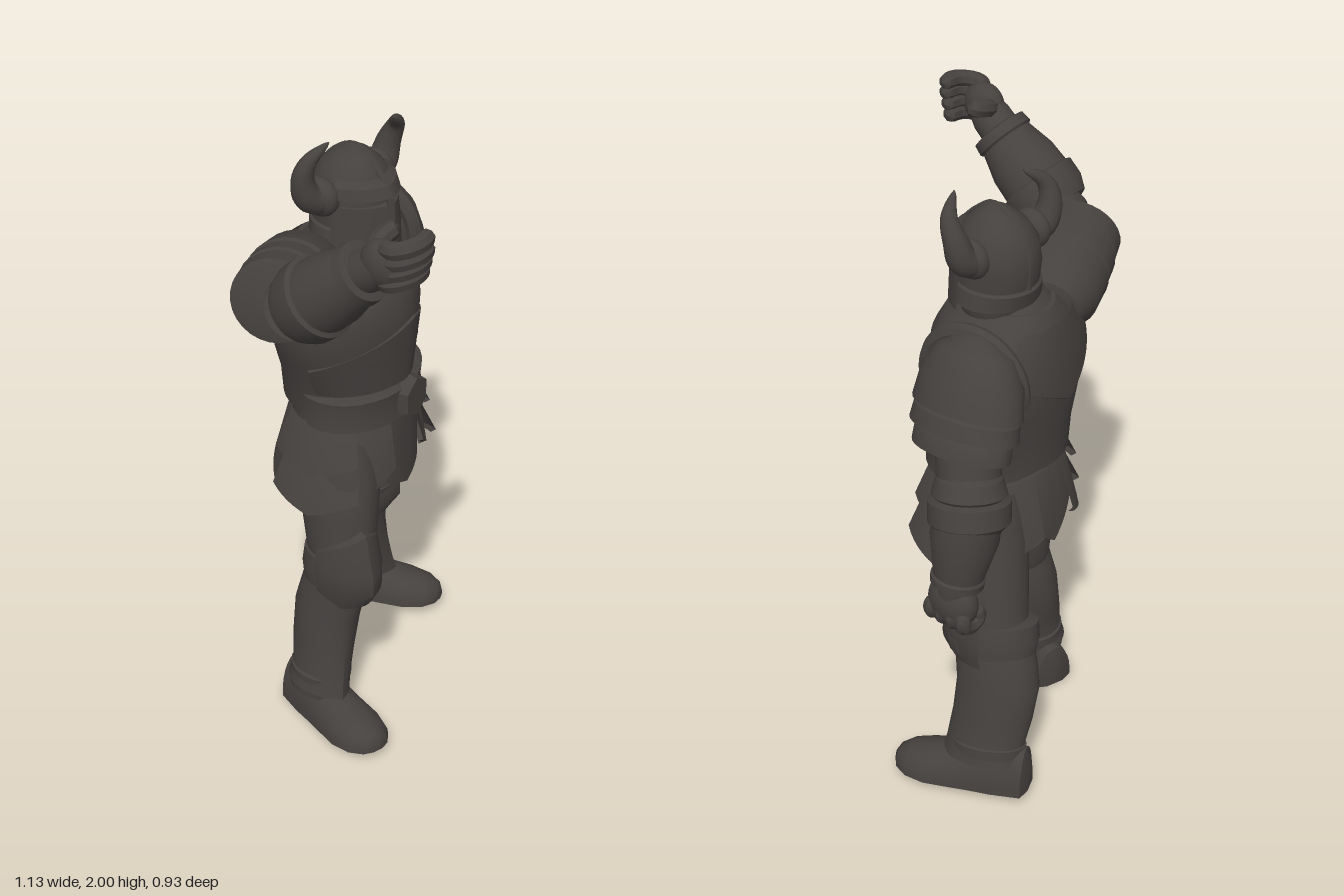
import * as THREE from 'three';
import { toCreasedNormals } from 'three/addons/utils/BufferGeometryUtils.js';

const V = (x, y, z) => new THREE.Vector3(x, y, z);

// Surface through rings [y, cx, cz, rx, rz, keel, tip]; angle 0 faces +z. A partial arc gives an open plate.
function loft(rings, a0 = -Math.PI, a1 = Math.PI, n = 28) {
  const pos = [], idx = [], full = a1 - a0 > 6.28, w = n + 1;
  for (const [y, cx, cz, rx, rz, keel = 0, tip = 0] of rings) {
    for (let i = 0; i <= n; i++) {
      const u = i / n, a = a0 + (a1 - a0) * u;
      pos.push(cx + rx * Math.sin(a), y + tip * (1 - Math.abs(2 * u - 1)),
        cz + rz * Math.cos(a) + keel * Math.max(0, 1 - Math.abs(a)));
    }
  }
  for (let j = 0; j < rings.length - 1; j++) {
    for (let i = 0; i < n; i++) {
      const a = j * w + i, d = a + w;
      idx.push(a, a + 1, d, d + 1, d, a + 1);
    }
  }
  if (full) {
    [0, rings.length - 1].forEach((j, top) => {
      const c = pos.length / 3, r = rings[j];
      pos.push(r[1], r[0], r[2]);
      for (let i = 0; i < n; i++) {
        const a = j * w + i;
        if (top) idx.push(c, a, a + 1); else idx.push(c, a + 1, a);
      }
    });
  }
  const g = new THREE.BufferGeometry();
  g.setAttribute('position', new THREE.Float32BufferAttribute(pos, 3));
  g.setIndex(idx);
  return g;
}

// Tube that narrows along its path by radius(t)
function taperTube(points, radius, seg = 20, rad = 10) {
  const curve = new THREE.CatmullRomCurve3(points);
  const g = new THREE.TubeGeometry(curve, seg, 1, rad);
  const p = g.attributes.position, v = V(0, 0, 0);
  for (let i = 0; i < p.count; i++) {
    const t = Math.floor(i / (rad + 1)) / seg, c = curve.getPointAt(t);
    v.fromBufferAttribute(p, i).sub(c).multiplyScalar(radius(t)).add(c);
    p.setXYZ(i, v.x, v.y, v.z);
  }
  return g;
}
const finger = (pts, r) => taperTube(pts, t => r * Math.sqrt(Math.max(0.002, 1 - Math.pow(2 * t - 1, 8))), 14, 8);

export function createModel() {
  const root = new THREE.Group();
  root.name = 'hornedKnight';
  const steel = new THREE.MeshStandardMaterial({ color: 0x45413f, side: THREE.DoubleSide });
  steel.name = 'dark steel';

  const add = (name, geo, parent = root) => {
    const m = new THREE.Mesh(toCreasedNormals(geo, 0.6), steel);
    m.name = name;
    parent.add(m);
    return m;
  };
  const group = (name, x, y, z, yaw) => {
    const g = new THREE.Group();
    g.name = name;
    g.position.set(x, y, z);
    g.rotation.y = yaw;
    root.add(g);
    return g;
  };
  // Armour sleeve from a to b; profile rows are [t, radius, keel, forward shift]
  const limb = (name, a, b, profile, yaw = 0, sx = 1, sz = 1) => {
    const len = a.distanceTo(b), up = b.clone().sub(a).normalize();
    const side = up.clone().cross(V(Math.sin(yaw), 0, Math.cos(yaw))).normalize();
    const front = side.clone().cross(up);
    const m = add(name, loft(profile.map(([t, r, k = 0, dz = 0]) => [t * len, 0, dz, r * sx, r * sz, k])));
    m.quaternion.setFromRotationMatrix(new THREE.Matrix4().makeBasis(side, up, front));
    m.position.copy(a);
  };
  const ball = (name, c, s) => {
    const m = add(name, new THREE.SphereGeometry(1, 24, 16));
    m.position.copy(c);
    m.scale.set(...s);
  };

  // Torso
  const torso = group('torso', 0, 0, -0.125, 0.16);
  add('cuirass', loft([[1.1, 0, 0, 0.2, 0.185], [1.2, 0, 0, 0.212, 0.19, 0.025], [1.3, 0, 0, 0.255, 0.2, 0.035],
    [1.42, 0, 0, 0.282, 0.202, 0.035], [1.5, 0, 0, 0.268, 0.192, 0.035], [1.57, 0, -0.01, 0.19, 0.17, 0.03],
    [1.62, 0, -0.02, 0.115, 0.125, 0.01]], undefined, undefined, 40), torso);
  add('abdomenPlate', loft([[1.19, 0, 0, 0.218, 0.196, 0.027], [1.29, 0, 0, 0.26, 0.208, 0.036, 0.12],
    [1.3, 0, 0, 0.25, 0.196, 0.03, 0.12]], -1.5, 1.5), torso);
  add('backPlate', loft([[1.44, 0, -0.005, 0.265, 0.195, 0, -0.12], [1.45, 0, -0.005, 0.286, 0.212, 0, -0.12],
    [1.52, 0, -0.005, 0.263, 0.202, 0, -0.02], [1.59, 0, -0.012, 0.19, 0.172]], 2.3, 3.98), torso);
  add('gorget', loft([[1.55, 0, -0.01, 0.165, 0.15], [1.575, 0, -0.01, 0.17, 0.152, 0.01],
    [1.625, 0, -0.01, 0.11, 0.115], [1.65, 0, 0, 0.09, 0.1]]), torso);

  // Belt, buckle and skirt plates
  const waist = group('waist', 0.015, 0, -0.08, 0.1);
  add('pelvis', loft([[0.8, 0, -0.03, 0.08, 0.09], [0.88, 0, -0.03, 0.18, 0.155], [1, 0, -0.02, 0.215, 0.18],
    [1.12, 0, -0.01, 0.21, 0.18]]), waist);
  add('belt', loft([[1.06, 0, 0, 0.215, 0.17], [1.07, 0, 0, 0.238, 0.183], [1.12, 0, 0, 0.23, 0.178],
    [1.17, 0, 0, 0.236, 0.183], [1.18, 0, 0, 0.21, 0.17]]), waist);
  const buckle = add('buckle', new THREE.CylinderGeometry(0.066, 0.076, 0.045, 6), waist);
  buckle.position.set(0.005, 1.125, 0.183);
  buckle.rotation.x = Math.PI / 2;
  const skirt = (name, mid, half, y0, y1, r, flare, tip) => add(name, loft([
    [y0, 0, -0.02, r * 0.97, r * 0.8], [y0 - 0.01, 0, -0.02, r, r * 0.84],
    [y1, 0, -0.02, r + flare, (r + flare) * 0.85, 0, -tip],
    [y1 - 0.004, 0, -0.02, r + flare - 0.02, (r + flare - 0.02) * 0.85, 0, -tip]], mid - half, mid + half, 12), waist);
  skirt('loincloth', 0.02, 0.45, 1.07, 0.84, 0.226, 0.002, 0.04);
  skirt('rearPanel', Math.PI, 0.5, 1.07, 0.9, 0.22, 0.035, 0.1);
  for (const s of [-1, 1]) {
    skirt('frontTasset', s * 0.85, 0.5, 1.07, 0.91, 0.23, 0.03, 0.09);
    skirt('lowerSideTasset', s * 1.5, 0.6, 0.98, 0.845, 0.25, 0.06, 0.05);
    skirt('upperSideTasset', s * 1.55, 0.65, 1.08, 0.965, 0.235, 0.05, 0.04);
    skirt('rearTasset', s * 2.35, 0.5, 1.07, 0.87, 0.225, 0.06, 0.06);
  }

  // Helmet with visor and crest
  const head = group('helmet', 0.03, 0, -0.1, -0.08);
  add('skullcap', loft([[1.57, 0, -0.01, 0.1, 0.1], [1.64, 0, -0.01, 0.122, 0.115], [1.68, 0, -0.01, 0.118, 0.125],
    [1.76, 0, -0.01, 0.123, 0.135], [1.82, 0, -0.01, 0.116, 0.126], [1.87, 0, -0.01, 0.086, 0.095],
    [1.905, 0, -0.005, 0.046, 0.056], [1.928, 0, 0, 0.008, 0.008]]), head);
  add('neckGuard', loft([[1.635, 0, -0.01, 0.12, 0.11], [1.64, 0, -0.01, 0.137, 0.125], [1.69, 0, -0.01, 0.126, 0.135],
    [1.7, 0, -0.01, 0.115, 0.125]], 1.2, 5.08), head);
  add('cheekPlates', loft([[1.625, 0, 0, 0.12, 0.1, 0.03, -0.02], [1.62, 0, 0, 0.14, 0.118, 0.042, -0.02],
    [1.7, 0, 0, 0.133, 0.117, 0.04], [1.775, 0, 0, 0.126, 0.115, 0.03],
    [1.778, 0, 0, 0.113, 0.095, 0.015]], -1.4, 1.4), head);
  add('brow', loft([[1.798, 0, 0, 0.113, 0.095], [1.8, 0, 0, 0.131, 0.12, 0.032], [1.835, 0, 0, 0.122, 0.112, 0.022],
    [1.85, 0, 0, 0.098, 0.09, 0.01]], -1.4, 1.4), head);
  const nose = add('noseBar', new THREE.CylinderGeometry(0.014, 0.018, 0.13, 4), head);
  nose.position.set(0, 1.745, 0.137);
  add('crest', taperTube([V(0, 1.83, 0.125), V(0, 1.885, 0.07), V(0, 1.924, 0.005), V(0, 1.885, -0.08),
    V(0, 1.8, -0.137), V(0, 1.7, -0.137)], () => 0.009, 20, 6), head);

  // Horns
  const hornRadius = t => 0.054 * Math.pow(1 - t, 0.7) + 0.002;
  const horns = [
    ['rightHorn', V(-0.07, 1.79, -0.12), V(-0.14, 1.81, -0.14), V(-0.163, 1.87, -0.145), V(-0.155, 1.93, -0.13), V(-0.095, 1.98, -0.1)],
    ['leftHorn', V(0.12, 1.79, -0.11), V(0.18, 1.81, -0.11), V(0.2, 1.87, -0.1), V(0.195, 1.935, -0.07), V(0.132, 1.985, -0.035)]];
  for (const [name, ...pts] of horns) {
    add(name, taperTube(pts, hornRadius, 24, 14));
    ball(name + 'Socket', pts[0].clone().lerp(pts[1], 0.45), [0.04, 0.062, 0.062]);
  }

  // Lowered left arm
  limb('leftUpperArm', V(0.32, 1.52, -0.25), V(0.42, 1.16, -0.335), [[0, 0.1], [0.5, 0.096], [1, 0.093]]);
  limb('leftPauldron', V(0.275, 1.672, -0.25), V(0.385, 1.33, -0.275), [[0, 0.015], [0.04, 0.05], [0.15, 0.1], [0.35, 0.133],
    [0.62, 0.145], [0.63, 0.125], [0.66, 0.138], [0.8, 0.144], [0.81, 0.122], [0.84, 0.128], [0.98, 0.13], [1, 0.1]], 0, 0.86, 1.24);
  const rim = add('leftPauldronRim', new THREE.TorusGeometry(0.158, 0.026, 8, 28, Math.PI * 1.15));
  rim.position.set(0.28, 1.505, -0.235);
  rim.rotation.set(0, Math.PI / 2 + 0.15, -0.2);
  limb('leftElbowGuard', V(0.393, 1.285, -0.315), V(0.435, 1.11, -0.35), [[0, 0.08], [0.08, 0.098], [0.35, 0.112], [0.4, 0.102],
    [0.45, 0.122], [0.8, 0.122], [0.88, 0.108], [1, 0.09]]);
  limb('leftForearm', V(0.44, 1.17, -0.35), V(0.482, 0.945, -0.343), [[0, 0.1], [0.3, 0.102], [0.85, 0.076], [0.88, 0.082],
    [0.98, 0.08], [1, 0.06]]);
  limb('leftWrist', V(0.482, 0.97, -0.343), V(0.485, 0.87, -0.335), [[0, 0.055], [1, 0.055]]);
  ball('leftPalm', V(0.487, 0.88, -0.333), [0.057, 0.085, 0.085]);
  for (let i = 0; i < 4; i++) {
    const z = -0.395 + i * 0.04;
    add('leftFinger', finger([V(0.512, 0.88, z), V(0.516, 0.835, z), V(0.485, 0.815, z), V(0.45, 0.83, z), V(0.46, 0.87, z)], 0.026));
  }
  add('leftThumb', finger([V(0.48, 0.93, -0.275), V(0.447, 0.88, -0.262), V(0.445, 0.845, -0.29)], 0.026));

  // Raised right arm
  limb('rightUpperArm', V(-0.14, 1.48, -0.13), V(-0.45, 1.66, 0.06), [[0, 0.14], [0.3, 0.13], [0.7, 0.112], [1, 0.1]]);
  limb('rightPauldron', V(-0.09, 1.54, -0.185), V(-0.425, 1.622, -0.055), [[0, 0.07], [0.05, 0.11], [0.22, 0.143], [0.5, 0.148],
    [0.52, 0.132], [0.56, 0.144], [0.73, 0.143], [0.75, 0.127], [0.78, 0.138], [0.97, 0.133], [1, 0.1]], 0, 0.95, 1);
  limb('rightForearm', V(-0.445, 1.635, 0.035), V(-0.438, 1.85, 0.285), [[0, 0.06], [0.06, 0.105], [0.2, 0.123], [0.37, 0.125],
    [0.39, 0.112], [0.6, 0.108], [0.86, 0.086], [0.88, 0.094], [0.98, 0.09], [1, 0.06]]);
  limb('rightWrist', V(-0.44, 1.83, 0.26), V(-0.453, 1.9, 0.36), [[0, 0.064], [0.6, 0.062], [1, 0.05]]);
  ball('rightPalm', V(-0.456, 1.9, 0.355), [0.05, 0.072, 0.072]);
  for (let i = 0; i < 4; i++) {
    const y = 1.85 + i * 0.035, z = 0.405 + 0.008 * Math.min(i, 2);
    add('rightFinger', finger([V(-0.465, y, 0.35), V(-0.47, y + 0.005, z - 0.015), V(-0.425, y + 0.015, z + 0.022),
      V(-0.36, y + 0.023, z + 0.02)], 0.027));
  }
  add('rightThumb', finger([V(-0.45, 1.9, 0.32), V(-0.4, 1.925, 0.3), V(-0.355, 1.94, 0.305), V(-0.335, 1.95, 0.32)], 0.029));

  // Legs: hip, knee, ankle, foot yaw, heel, toe lift, and width and depth scales of the shin
  const legs = [
    ['right', V(-0.1, 1, -0.08), V(-0.178, 0.58, -0.005), V(-0.255, 0.12, -0.05), -0.3, V(-0.225, 0, -0.125), -0.07, 0.95, 1.06],
    ['left', V(0.145, 1, -0.14), V(0.223, 0.57, -0.265), V(0.308, 0.12, -0.318), 0.4, V(0.272, 0.035, -0.4), 0, 0.83, 1.22]];
  const toeRows = [[-0.05, 0.03, 0.09], [-0.035, 0.07, 0.15], [0.06, 0.082, 0.165], [0.13, 0.085, 0.14], [0.2, 0.09, 0.11],
    [0.28, 0.095, 0.088], [0.345, 0.08, 0.07], [0.385, 0.048, 0.048], [0.398, 0.015, 0.025]];
  for (const [side, hip, knee, ankle, yaw, heel, tilt, sx, sz] of legs) {
    limb(side + 'Thigh', knee, hip, [[0, 0.1], [0.3, 0.112, 0.015], [0.65, 0.126, 0.015], [1, 0.125]], yaw, 1, 1.1);
    limb(side + 'Greave', ankle, knee, [[0, 0.07], [0.01, 0.1, 0.03], [0.12, 0.093, 0.025], [0.35, 0.1, 0.015, -0.016],
      [0.6, 0.106, 0.008, -0.026], [0.8, 0.104, 0.008, -0.016], [1, 0.1]], yaw, sx, sz);
    limb(side + 'KneeBand', knee.clone().lerp(ankle, 0.16), knee.clone().lerp(hip, 0.1), [[0, 0.09], [0.04, 0.106],
      [0.45, 0.115], [0.92, 0.113], [1, 0.09]], yaw, (1 + sx) / 2, sz * 1.07);
    const cap = add(side + 'KneeCap', loft([[-0.14, 0, 0, 0.07, 0.07, 0, 0.02], [-0.13, 0, 0, 0.095, 0.105, 0.02, 0.02],
      [-0.05, 0, 0.005, 0.113, 0.125, 0.036], [0.02, 0, 0.005, 0.117, 0.125, 0.034], [0.08, 0, 0, 0.107, 0.108, 0.02, 0.08],
      [0.085, 0, 0, 0.09, 0.09, 0.01, 0.08]], -1.5, 1.5));
    cap.position.copy(knee);
    cap.rotation.y = yaw;
    limb(side + 'AnkleBand', V(ankle.x, 0.09 + heel.y, ankle.z), ankle.clone().lerp(knee, 0.16), [[0, 0.07], [0.1, 0.094],
      [0.85, 0.1], [1, 0.085]], yaw, sx, sz);

    // Boot: flat sole, lofted from heel to toe
    const g = loft(toeRows.map(([y, w, h]) => [y, 0, 0, w, h]));
    const p = g.attributes.position;
    for (let i = 0; i < p.count; i++) p.setZ(i, Math.min(0, p.getZ(i)));
    g.rotateX(Math.PI / 2);
    const boot = add(side + 'Boot', g);
    boot.position.copy(heel);
    boot.rotation.set(tilt, yaw, 0, 'YXZ');
  }
  return root;
}
